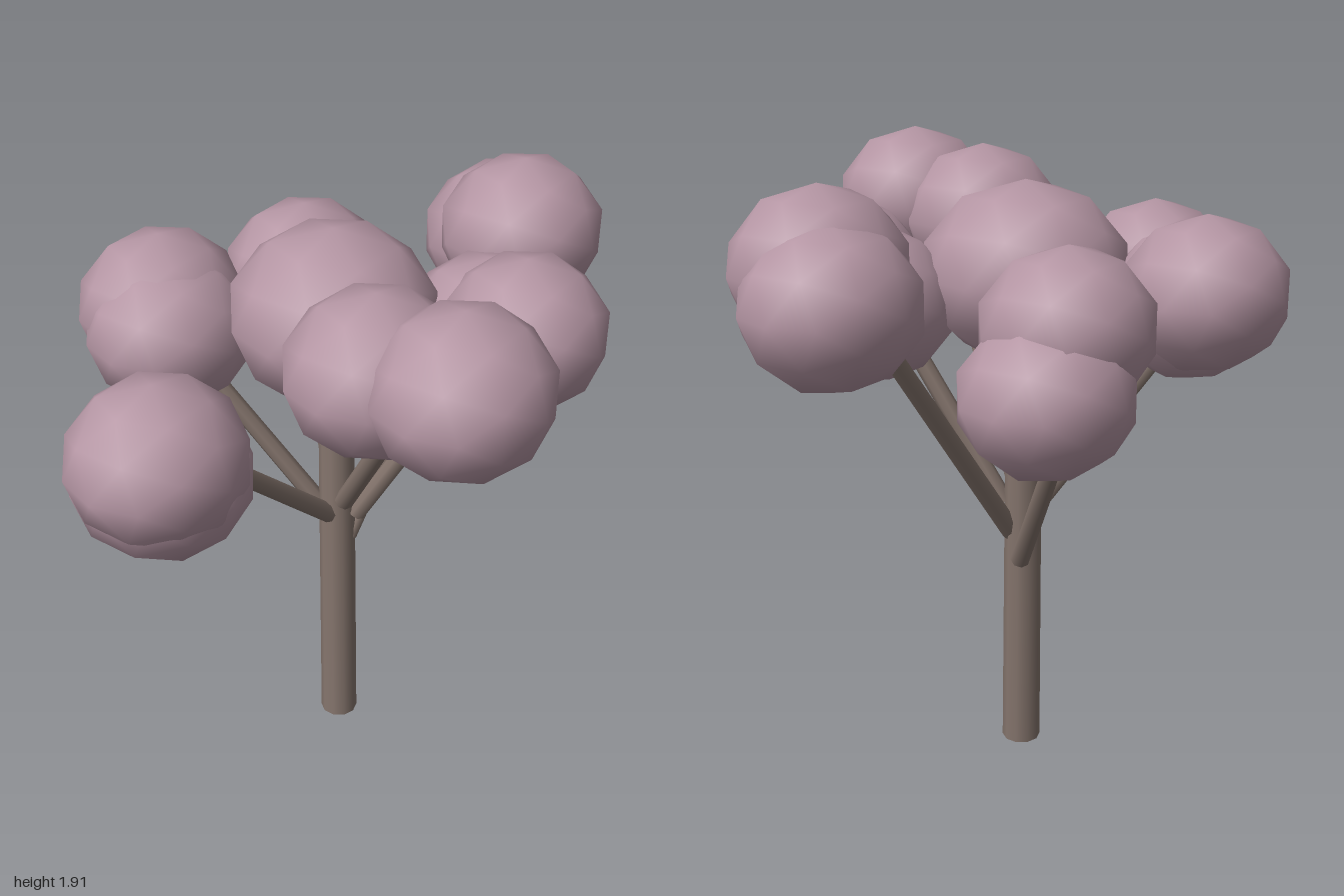
import * as THREE from 'three';

export function createModel() {
  const tree = new THREE.Group();
  tree.name = 'tree';
  const bark = new THREE.MeshStandardMaterial({ color: 0x85756d });
  bark.name = 'bark';
  const foliage = new THREE.MeshStandardMaterial({ color: 0xb596a4 });
  foliage.name = 'foliage';

  // Tapered limb running between two points
  function limb(name, from, to, r0, r1, sides) {
    const a = new THREE.Vector3(...from), b = new THREE.Vector3(...to);
    const dir = b.clone().sub(a);
    const mesh = new THREE.Mesh(new THREE.CylinderGeometry(r1, r0, dir.length(), sides), bark);
    mesh.name = name;
    mesh.position.copy(a).add(b).multiplyScalar(0.5);
    mesh.quaternion.setFromUnitVectors(new THREE.Vector3(0, 1, 0), dir.normalize());
    tree.add(mesh);
  }

  // Slightly flattened low-sided ball of leaves with smooth normals
  const ball = new THREE.IcosahedronGeometry(1, 1);
  function leafBall(name, x, y, z, rx = 0.262, ry = 0.233, rz = 0.253) {
    const mesh = new THREE.Mesh(ball, foliage);
    mesh.name = name;
    mesh.position.set(x, y, z);
    mesh.scale.set(rx, ry, rz);
    tree.add(mesh);
  }

  // Leaning trunk
  limb('trunk', [0.01, 0, -0.06], [0.043, 1.28, -0.088], 0.061, 0.055, 10);

  // Branches
  const branches = {
    leftBranch: [[0.05, 0.73, -0.05], [0.7, 1.6, 0.03]],
    rightBranch: [[0.02, 0.81, -0.08], [-0.62, 1.4, -0.11]],
    frontRightBranch: [[0.005, 0.9, -0.03], [-0.28, 1.6, 0.42]],
    frontLeftBranch: [[0.055, 0.83, -0.02], [0.19, 1.5, 0.35]],
    backLeftBranch: [[0.08, 0.66, -0.1], [0.4, 1.28, -0.47]],
    backRightBranch: [[0.025, 0.8, -0.1], [-0.2, 1.45, -0.52]],
  };
  for (const [name, [from, to]] of Object.entries(branches)) limb(name, from, to, 0.031, 0.027, 8);

  // Crown ball over the trunk
  leafBall('crownFoliage', 0.01, 1.556, -0.07, 0.312, 0.273, 0.318);

  // A pair of overlapping balls at the end of each branch
  const pairs = {
    frontRight: [[-0.3, 1.673, 0.565], [-0.3, 1.638, 0.295]],
    frontLeft: [[0.27, 1.537, 0.418], [0.325, 1.473, 0.265]],
    left: [[0.648, 1.647, 0.178], [0.735, 1.572, 0.066]],
    backLeft: [[0.285, 1.484, -0.387], [0.4, 1.318, -0.394]],
    backRight: [[-0.185, 1.514, -0.566], [-0.228, 1.472, -0.5]],
    right: [[-0.736, 1.438, -0.1], [-0.7, 1.362, -0.122]],
  };
  for (const [side, balls] of Object.entries(pairs)) {
    balls.forEach((p, i) => leafBall(`${side}Foliage${i + 1}`, ...p));
  }
  return tree;
}
